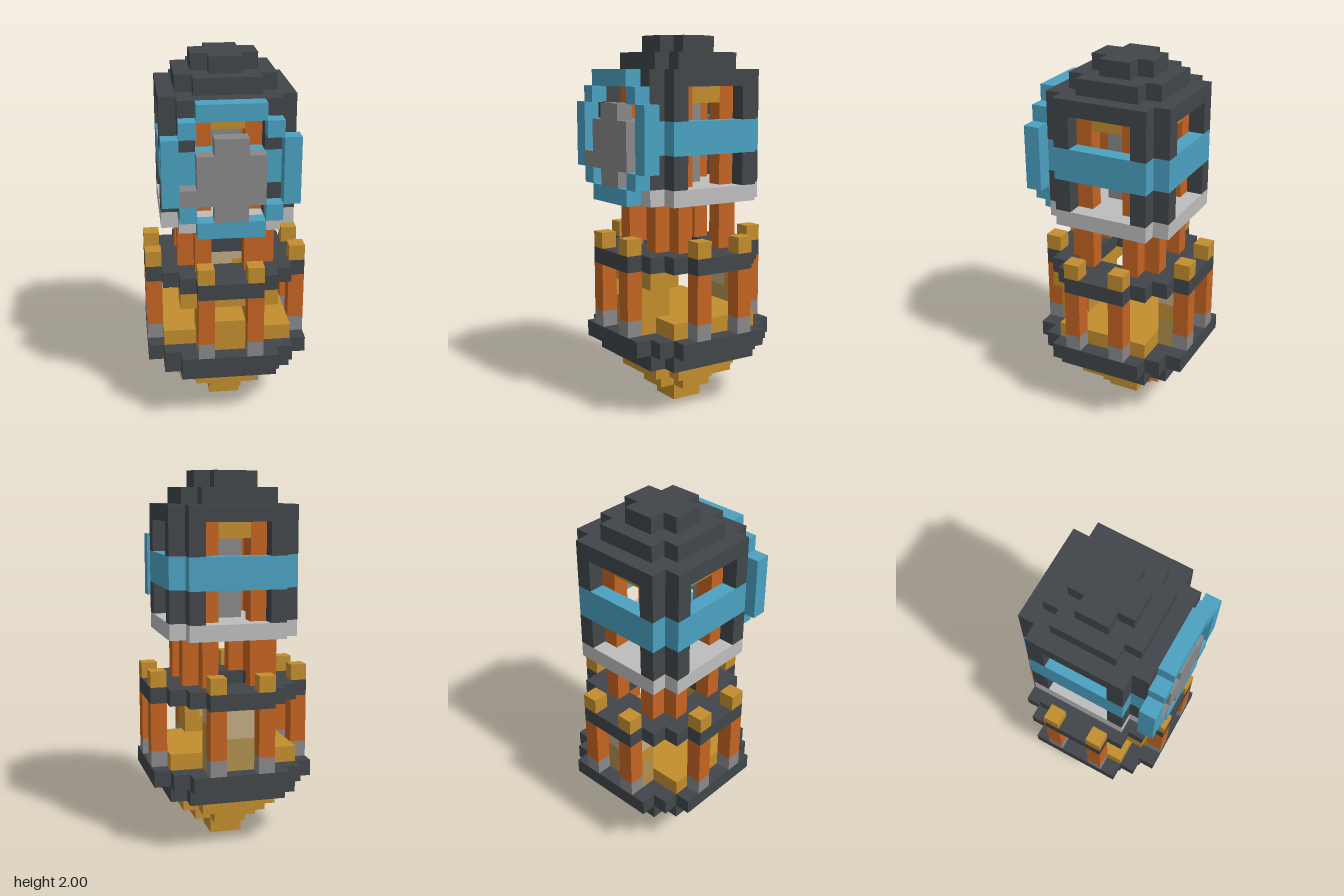
import * as THREE from 'three';

const U = 2 / 23; // one block; all sizes below are counted in blocks

function mat(name, color) {
  const m = new THREE.MeshStandardMaterial({ color });
  m.name = name;
  return m;
}

// Stepped round outline: rows[i] is the half width at depth i..i+1 from the centre
function outline(rows, Target) {
  const quarter = [];
  rows.forEach((w, i) => quarter.push([w, i], [w, i + 1]));
  const q = quarter.slice(1); // drop the point on the axis
  const back = [...q].reverse();
  const pts = [
    ...q,
    ...back.map(([x, z]) => [-x, z]),
    ...q.map(([x, z]) => [-x, -z]),
    ...back.map(([x, z]) => [x, -z]),
  ].filter((p, i, a) => {
    const n = a[(i + 1) % a.length];
    const b = a[(i + a.length - 1) % a.length];
    const cross = (p[0] - b[0]) * (n[1] - p[1]) - (p[1] - b[1]) * (n[0] - p[0]);
    return cross !== 0; // keep true corners only
  });
  return new Target(pts.map(([x, z]) => new THREE.Vector2(x * U, z * U)));
}

export function createModel() {
  const group = new THREE.Group();
  const gold = mat('gold', 0xc28d2e);
  const dark = mat('slate', 0x41464a);
  const orange = mat('orange wood', 0xc46422);
  const blue = mat('blue', 0x4ba1c1);
  const grey = mat('grey', 0x888888);
  const light = mat('light stone', 0xbdbdbd);
  const beige = mat('beige', 0xc2aa82);
  const tan = mat('tan', 0xb0904c);

  function add(name, geometry, material) {
    const mesh = new THREE.Mesh(geometry, material);
    mesh.name = name;
    group.add(mesh);
    return mesh;
  }

  // Box between two corners given in blocks
  function box(name, m, x0, x1, y0, y1, z0, z1) {
    const mesh = add(name, new THREE.BoxGeometry((x1 - x0) * U, (y1 - y0) * U, (z1 - z0) * U), m);
    mesh.position.set((x0 + x1) / 2 * U, (y0 + y1) / 2 * U, (z0 + z1) / 2 * U);
  }

  // Box repeated in all four quadrants
  function four(name, m, x0, x1, y0, y1, z0, z1) {
    for (const sx of [1, -1]) for (const sz of [1, -1]) {
      const xs = [x0 * sx, x1 * sx].sort((a, b) => a - b);
      const zs = [z0 * sz, z1 * sz].sort((a, b) => a - b);
      box(name, m, xs[0], xs[1], y0, y1, zs[0], zs[1]);
    }
  }

  // Stepped disc, optionally with a stepped hole
  function disc(name, m, y0, y1, rows, hole) {
    const shape = outline(rows, THREE.Shape);
    if (hole) shape.holes.push(outline(hole, THREE.Path));
    const g = new THREE.ExtrudeGeometry(shape, { depth: (y1 - y0) * U, bevelEnabled: false });
    g.rotateX(-Math.PI / 2);
    g.translate(0, y0 * U, 0);
    add(name, g, m);
  }

  // Tapered underside and base platform
  disc('baseTip', gold, 0, 1, [1]);
  disc('baseTaper', gold, 1, 2, [2, 1]);
  disc('baseTaper', gold, 2, 3, [3, 3, 2]);
  disc('lowerPlatform', dark, 3, 4, [4, 4, 4, 3]);
  disc('platform', dark, 4, 5, [5, 5, 5, 4, 3]);

  // Outer pillars: stone foot, wooden shaft, gold finial above the gallery
  for (const [x0, x1, z0, z1] of [[4, 5, 1, 2], [1, 2, 4, 5]]) {
    four('pillarFoot', grey, x0, x1, 5, 6, z0, z1);
    four('pillar', orange, x0, x1, 6, 9, z0, z1);
    four('finial', gold, x0, x1, 10, 11, z0, z1);
  }
  disc('gallery', dark, 9, 10, [5, 5, 4, 3, 2], [2, 2]);

  // Room between the pillars
  box('roomFloor', gold, -4, 4, 5, 6, -3, 3);
  box('frontCounter', gold, -2, 2, 6, 7, 2, 4);
  box('frontCounterFoot', gold, -2, 2, 5, 6, 3, 4);
  for (const s of [-1.5, 1.5]) box('frontCounterSide', gold, s - 0.5, s + 0.5, 7, 8, 2, 4);
  box('frontLintel', gold, -3, 3, 8, 9, 2, 4);
  box('backPanel', tan, -2, 2, 5, 7, -4, -3);
  box('backWindow', beige, -1, 1, 7, 8, -4, -3);
  for (const s of [-1.5, 1.5]) box('backWindowSide', gold, s - 0.5, s + 0.5, 7, 8, -4, -3);
  box('backLintel', beige, -2, 2, 8, 9, -4, -3);

  // Inner columns rising through the cabin
  four('innerColumn', orange, 2, 3, 10, 20, 1, 2);
  four('innerColumn', orange, 1, 2, 10, 20, 2, 3);

  // Cabin: floor, corner posts, belt and window lintels
  disc('cabinFloor', light, 13, 14, [4, 4, 4, 3]);
  for (const [y0, y1] of [[14, 16], [18, 20]]) {
    four('cornerPost', dark, 2, 4, y0, y1, 2, 3);
    four('cornerPost', dark, 2, 3, y0, y1, 3, 4);
  }
  disc('belt', blue, 16, 18, [4, 4, 4, 3], [3, 3, 2]);
  for (const s of [-2.5, 2.5]) {
    box('windowLintel', gold, -1, 1, 19, 20, s - 0.5, s + 0.5);
    box('windowLintel', gold, s - 0.5, s + 0.5, 19, 20, -1, 1);
  }
  box('innerCore', grey, -1, 1, 14, 19, -1, 1);

  // Stepped roof
  disc('roof', dark, 20, 21, [4, 4, 4, 3]);
  disc('roofStep', dark, 21, 22, [3, 3, 2]);
  disc('roofTop', dark, 22, 23, [2, 1]);

  // Round dial on the front: grey face inside a blue ring
  for (const y of [13, 20]) box('dialRing', blue, -2, 2, y, y + 1, 4, 5);
  for (const s of [-1, 1]) {
    for (const y of [14, 19]) box('dialRing', blue, s * 2.5 - 0.5, s * 2.5 + 0.5, y, y + 1, 4, 5);
    box('dialRing', blue, s * 3.5 - 0.5, s * 3.5 + 0.5, 15, 19, 4, 5);
  }
  box('dialFace', grey, -2, 2, 15, 18, 4, 5);
  box('dialFaceTop', grey, -1, 1, 18, 19, 4, 5);
  box('dialFaceBottom', grey, -1, 1, 14, 15, 4, 5);
  box('dialHand', grey, -3, -2, 15, 16, 4, 5);

  return group;
}
